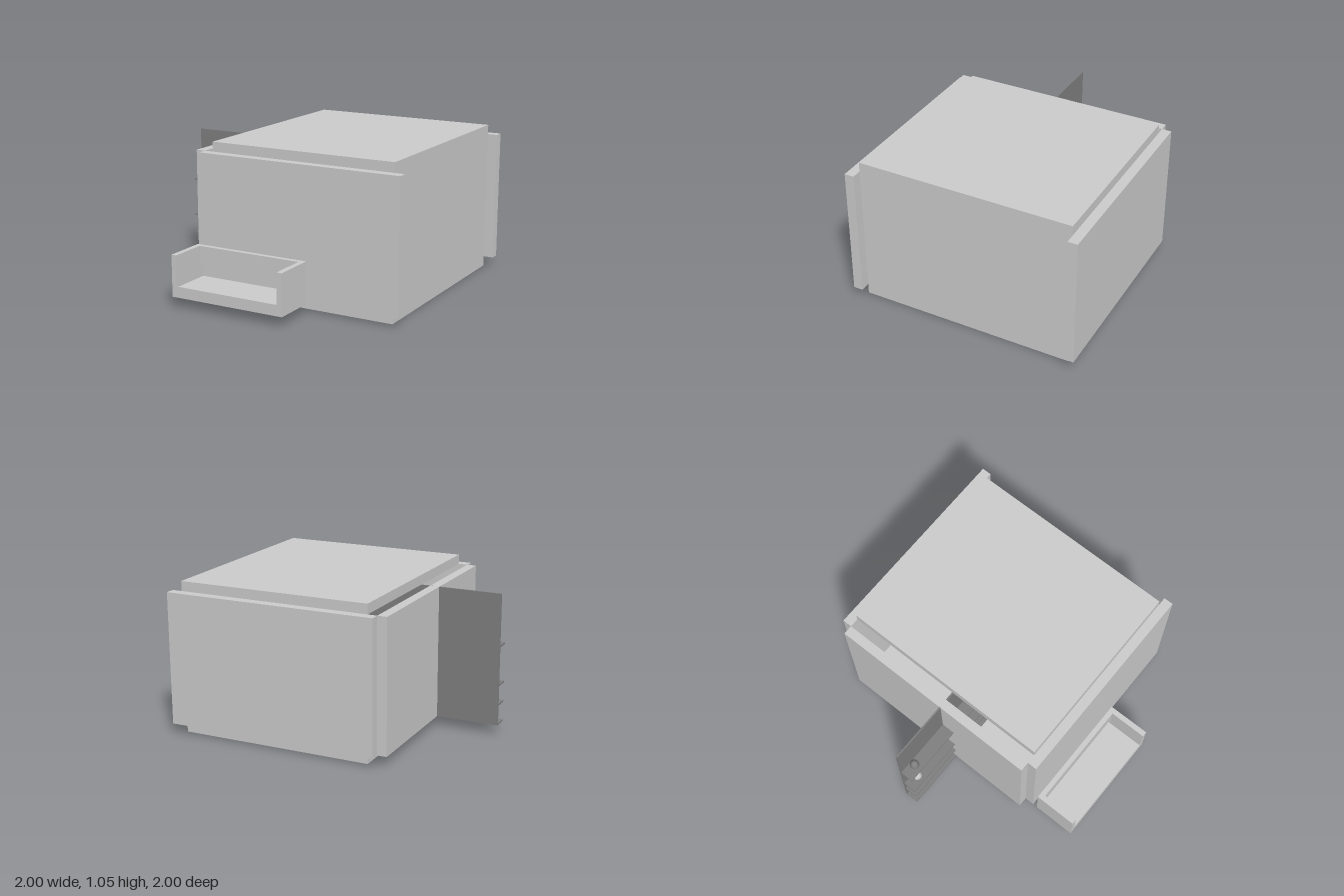
import * as THREE from 'three';

export function createModel() {
  const model = new THREE.Group();
  const panelGrey = new THREE.MeshStandardMaterial({ color: 0xcccccc });
  panelGrey.name = 'panelGrey';
  const rackGrey = new THREE.MeshStandardMaterial({ color: 0x808080 });
  rackGrey.name = 'rackGrey';

  // Box given by its limits on each axis
  function block(name, material, [x0, x1], [y0, y1], [z0, z1], parent = model) {
    const mesh = new THREE.Mesh(new THREE.BoxGeometry(x1 - x0, y1 - y0, z1 - z0), material);
    mesh.position.set((x0 + x1) / 2, (y0 + y1) / 2, (z0 + z1) / 2);
    mesh.name = name;
    parent.add(mesh);
    return mesh;
  }

  // Cabinet: top, bottom and side, open towards the rack
  const depth = [-0.932, 0.592];
  block('topPanel', panelGrey, [-0.428, 0.93], [0.987, 1.055], depth);
  block('bottomPanel', panelGrey, [-0.428, 0.93], [0, 0.07], depth);
  block('sidePanel', panelGrey, [0.863, 0.93], [0.07, 0.987], depth);

  // Overlapping outer panels
  const height = [0.07, 0.987];
  block('frontPanel', panelGrey, [-0.493, 1], height, [0.592, 0.66]);
  block('backPanel', panelGrey, [-0.493, 1], height, [-1, -0.932]);
  block('rackSidePanel', panelGrey, [-0.56, -0.493], height, depth);

  // Inner chute
  block('chute', panelGrey, [-0.493, 0.32], [0.07, 0.145], [0.25, 0.49]);

  // Collection tray with a slot in its back wall and a thin front lip
  const tray = new THREE.Group();
  tray.name = 'tray';
  model.add(tray);
  block('trayFloor', panelGrey, [-0.455, 0.317], [0.07, 0.14], [0.695, 0.99], tray);
  block('trayLip', panelGrey, [-0.455, 0.317], [0.07, 0.146], [0.99, 1], tray);
  block('trayBack', panelGrey, [-0.455, 0.317], [0.23, 0.36], [0.695, 0.73], tray);
  block('trayRightWall', panelGrey, [-0.493, -0.455], [0.07, 0.36], [0.695, 1], tray);
  block('trayLeftWall', panelGrey, [0.317, 0.355], [0.07, 0.36], [0.695, 1], tray);

  // Rack sliding through the side panel
  const rack = new THREE.Group();
  rack.name = 'rack';
  model.add(rack);
  const rackWidth = [-1, 0.37];
  block('rackBoard', rackGrey, rackWidth, height, [-0.1, -0.09], rack);
  for (const y of [0.077, 0.215, 0.353, 0.624]) {
    block('shelf', rackGrey, rackWidth, [y - 0.006, y + 0.006], [-0.09, 0.003], rack);
  }

  // Oval items on the shelves
  const oval = new THREE.SphereGeometry(1, 24, 16);
  const rows = [[0.22, 0.04], [0.36, 0.06], [0.628, 0.061]];
  [-0.9, -0.49, -0.08, 0.29].forEach((x, column) => {
    rows.forEach(([y, halfHeight], row) => {
      const dark = row === 2 && column % 2 === 0;
      const item = new THREE.Mesh(oval, dark ? rackGrey : panelGrey);
      item.scale.set(0.033, halfHeight, 0.033);
      item.position.set(x, y, -0.057);
      item.name = 'item';
      rack.add(item);
    });
  });

  return model;
}
